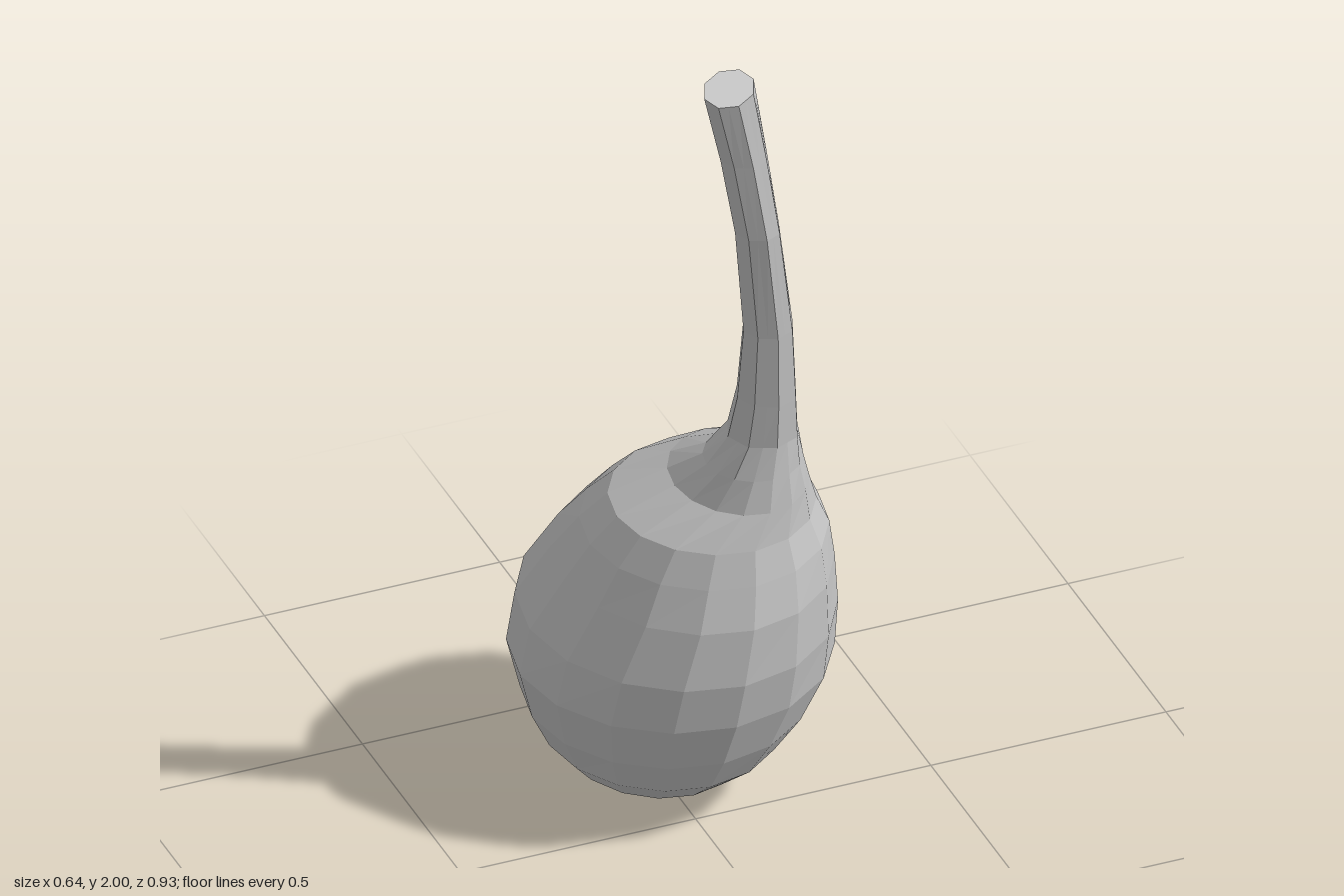
import * as THREE from 'three';

const SIDES = 16;

// Horizontal slices, bottom to top: [y, xMin, xMax, zMin, zMax]
const SLICES = [
  [0.02, -0.09, 0.08, -0.32, -0.06],
  [0.07, -0.19, 0.165, -0.4, 0.02],
  [0.13, -0.24, 0.23, -0.43, 0.09],
  [0.22, -0.285, 0.28, -0.452, 0.15],
  [0.34, -0.32, 0.32, -0.467, 0.21],
  [0.46, -0.31, 0.313, -0.455, 0.25],
  [0.6, -0.26, 0.285, -0.36, 0.27],
  [0.7, -0.225, 0.26, -0.265, 0.267],
  [0.78, -0.185, 0.22, -0.18, 0.263],
  [0.86, -0.085, 0.185, -0.07, 0.262],
  [0.94, -0.045, 0.152, 0.06, 0.267],
  [1.02, -0.015, 0.132, 0.125, 0.277],
  [1.13, -0.01, 0.114, 0.173, 0.3],
  [1.32, -0.018, 0.086, 0.235, 0.34],
  [1.6, -0.063, 0.03, 0.3, 0.405],
  [1.8, -0.108, -0.01, 0.335, 0.437],
  [1.985, -0.155, -0.05, 0.365, 0.467],
];

// Round bulb rings become octagons along the neck; the tip ring is tilted
function ring([y, x0, x1, z0, z1], tilt) {
  const points = [];
  for (let j = 0; j < SIDES; j++) {
    const a = (j / SIDES) * Math.PI * 2;
    const r = y > 1 && j % 2 ? Math.cos(Math.PI / 8) : 1;
    const dx = Math.sin(a) * r * (x1 - x0) / 2;
    const dz = Math.cos(a) * r * (z1 - z0) / 2;
    points.push([(x0 + x1) / 2 + dx, y + tilt * (dx - dz), (z0 + z1) / 2 + dz]);
  }
  return points;
}

function createGourdGeometry() {
  const last = SLICES.length - 1;
  const positions = [-0.01, 0, -0.19];
  SLICES.forEach((s, i) => positions.push(...ring(s, i === last ? 0.2 : 0).flat()));
  const [y, x0, x1, z0, z1] = SLICES[last];
  positions.push((x0 + x1) / 2, y, (z0 + z1) / 2);

  const id = (i, j) => 1 + i * SIDES + (j % SIDES);
  const tip = 1 + SLICES.length * SIDES;
  const index = [];
  for (let j = 0; j < SIDES; j++) {
    index.push(0, id(0, j + 1), id(0, j)); // closed base
    for (let i = 0; i < last; i++) {
      index.push(id(i, j), id(i, j + 1), id(i + 1, j + 1));
      index.push(id(i, j), id(i + 1, j + 1), id(i + 1, j));
    }
    index.push(tip, id(last, j), id(last, j + 1)); // flat cut end
  }
  const geometry = new THREE.BufferGeometry();
  geometry.setAttribute('position', new THREE.Float32BufferAttribute(positions, 3));
  geometry.setIndex(index);
  const flat = geometry.toNonIndexed();
  flat.computeVertexNormals();
  return flat;
}

export function createModel() {
  const group = new THREE.Group();
  group.name = 'gourd';
  const material = new THREE.MeshStandardMaterial({ color: 0xcccccc, flatShading: true });
  // Bulb and curved neck in one continuous skin
  const body = new THREE.Mesh(createGourdGeometry(), material);
  body.name = 'bulbAndNeck';
  group.add(body);
  return group;
}
